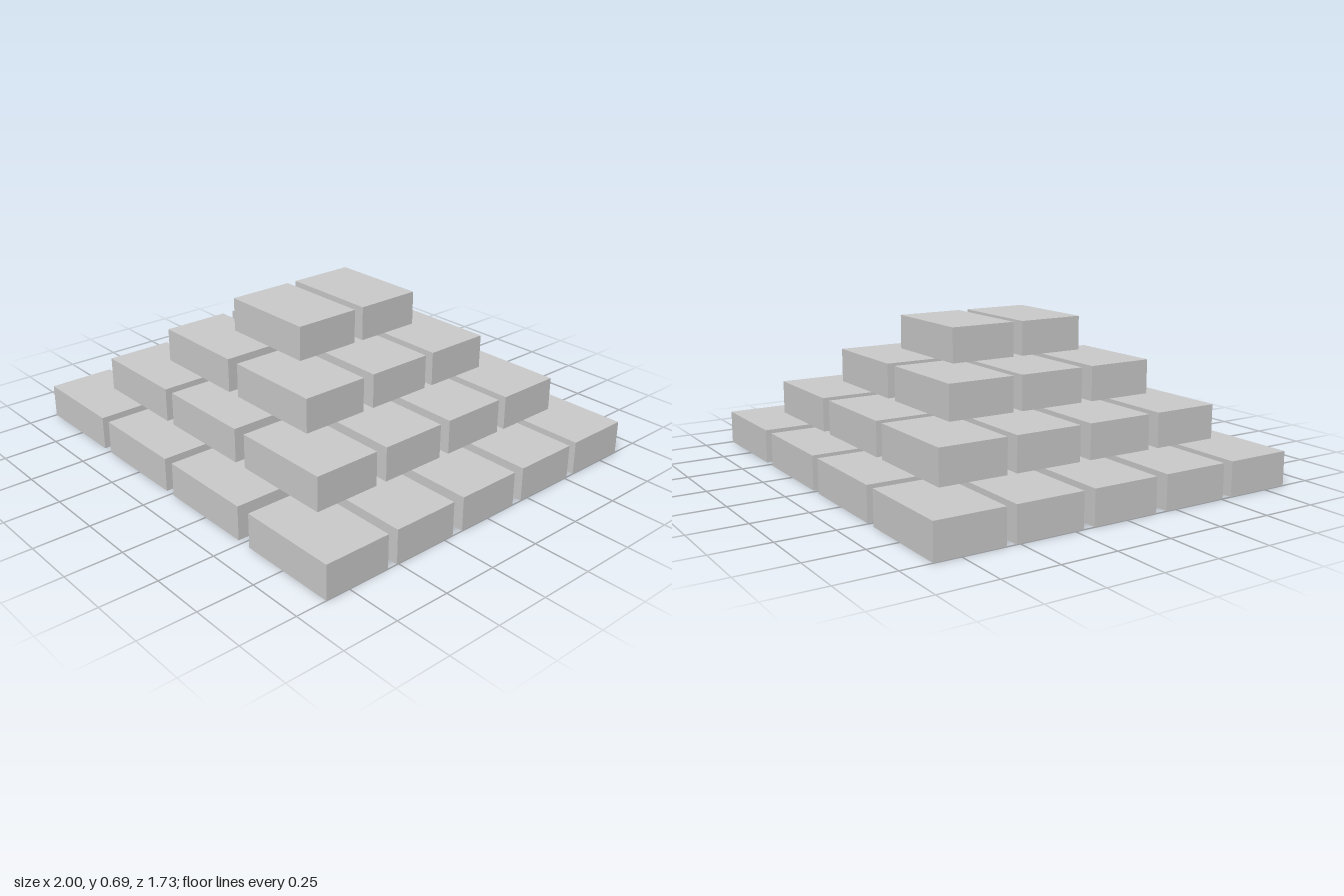
import * as THREE from 'three';

// Brick size: width, height, depth
const W = 0.457, H = 0.153, D = 0.306;

// Each course: base height, column centres in x, row centres in z
const COURSES = [
  { y: 0, xs: [-0.771, -0.262, 0.246, 0.771], zs: [-0.712, -0.363, -0.005, 0.355, 0.708] },
  { y: 0.178, xs: [-0.513, -0.007, 0.512], zs: [-0.538, -0.188, 0.17, 0.528] },
  { y: 0.355, xs: [-0.268, 0.252], zs: [-0.347, 0.002, 0.362] },
  { y: 0.532, xs: [-0.01], zs: [-0.175, 0.177] },
];

export function createModel() {
  const pyramid = new THREE.Group();
  pyramid.name = 'brickPyramid';
  const material = new THREE.MeshStandardMaterial({ color: 0xcccccc, flatShading: true });
  const brickGeometry = new THREE.BoxGeometry(W, H, D);

  COURSES.forEach(({ y, xs, zs }, level) => {
    const course = new THREE.Group();
    course.name = `course${level + 1}`;
    course.position.y = y + H / 2;
    xs.forEach((x, i) => zs.forEach((z, j) => {
      // Only the outer ring of each course is laid; the core is hollow
      const inside = i > 0 && i < xs.length - 1 && j > 0 && j < zs.length - 1;
      if (inside) return;
      const brick = new THREE.Mesh(brickGeometry, material);
      brick.name = `brick${i + 1}x${j + 1}`;
      brick.position.set(x, 0, z);
      course.add(brick);
    }));
    pyramid.add(course);
  });

  return pyramid;
}
